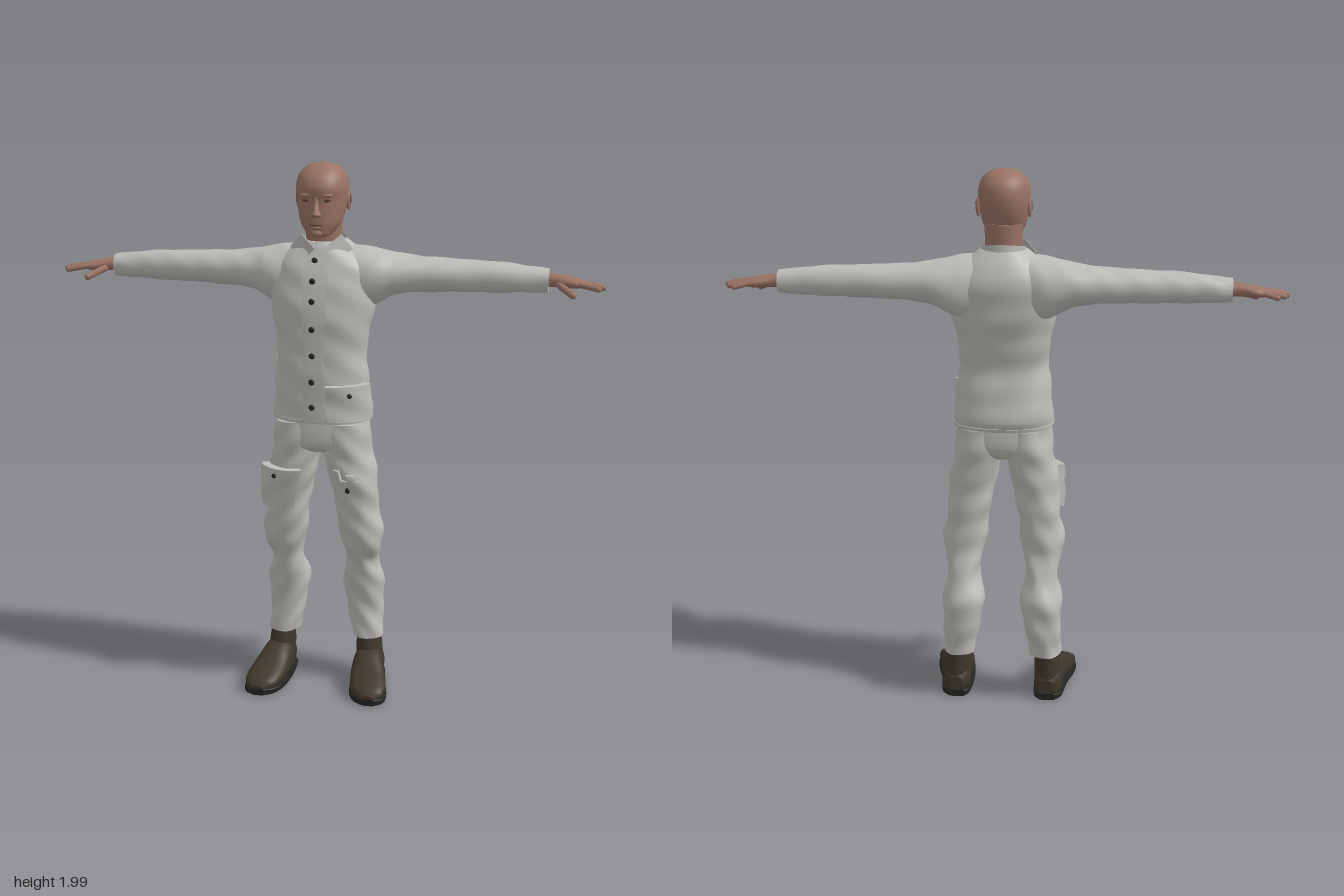
import * as THREE from 'three';
import { mergeVertices } from 'three/addons/utils/BufferGeometryUtils.js';

const mat = (name, color) => Object.assign(new THREE.MeshStandardMaterial({ color }), { name });

// Smooth body through cross-sections. Rows are [t, uLow, uHigh, vLow, vHigh];
// axis x: t=x u=y v=z, axis y: t=y u=z v=x, axis z: t=z u=x v=y.
function surface(axis, rows, power = 2, wrinkle = 0) {
  const R = [...rows].sort((a, b) => a[0] - b[0]);
  const last = R.length - 1;
  const slope = (i, k) => {
    const a = R[Math.max(0, i - 1)], b = R[Math.min(last, i + 1)];
    return (b[k] - a[k]) / (b[0] - a[0]);
  };
  const point = (t, th, off = 0) => {
    let i = 0;
    while (i < last - 1 && t > R[i + 1][0]) i++;
    const h = R[i + 1][0] - R[i][0], s = Math.min(1, Math.max(0, (t - R[i][0]) / h));
    const at = k => (2 * s ** 3 - 3 * s * s + 1) * R[i][k] + (s ** 3 - 2 * s * s + s) * h * slope(i, k)
      + (3 * s * s - 2 * s ** 3) * R[i + 1][k] + (s ** 3 - s * s) * h * slope(i + 1, k);
    const [u0, u1, v0, v1] = [at(1), at(2), at(3), at(4)];
    const o = off + wrinkle * Math.sin(t * 42 + 3 * Math.sin(th)) * Math.sin(2 * th + t * 11 + 1);
    const bend = x => Math.sign(x) * Math.abs(x) ** (2 / power);
    const u = (u0 + u1) / 2 + (Math.max(0.001, (u1 - u0) / 2) + o) * bend(Math.cos(th));
    const v = (v0 + v1) / 2 + (Math.max(0.001, (v1 - v0) / 2) + o) * bend(Math.sin(th));
    return axis === 'x' ? [t, u, v] : axis === 'y' ? [v, t, u] : [u, v, t];
  };
  return { R, point };
}

function loft(surf, { sides = 36, steps = 5, caps = true } = {}) {
  const { R, point } = surf, pos = [], idx = [], ts = [];
  for (let i = 0; i < R.length - 1; i++)
    for (let j = 0; j < steps; j++) ts.push(R[i][0] + (R[i + 1][0] - R[i][0]) * j / steps);
  ts.push(R[R.length - 1][0]);
  const ring = t => { for (let i = 0; i < sides; i++) pos.push(...point(t, i / sides * Math.PI * 2)); };
  ts.forEach(ring);
  for (let j = 0; j < ts.length - 1; j++)
    for (let i = 0; i < sides; i++) {
      const a = j * sides + i, b = j * sides + (i + 1) % sides;
      idx.push(a, b, a + sides, b, b + sides, a + sides);
    }
  if (caps) [ts[0], ts[ts.length - 1]].forEach((t, end) => {
    const base = pos.length / 3;
    ring(t);
    const p = point(t, 0), q = point(t, Math.PI);
    pos.push(...p.map((x, k) => (x + q[k]) / 2));
    for (let i = 0; i < sides; i++) {
      const a = base + i, b = base + (i + 1) % sides;
      idx.push(...(end ? [a, b, base + sides] : [b, a, base + sides]));
    }
  });
  const g = new THREE.BufferGeometry();
  g.setAttribute('position', new THREE.Float32BufferAttribute(pos, 3));
  g.setIndex(idx);
  g.computeVertexNormals();
  return g;
}

// Slab hugging a vertical surface between two angles and two heights
function patch(surf, th0, th1, y0, y1, thick) {
  const g = new THREE.BoxGeometry(1, 1, 1, 12, 12, 1), p = g.attributes.position;
  for (let i = 0; i < p.count; i++) {
    const th = th0 + (p.getX(i) + 0.5) * (th1 - th0), y = y0 + (p.getY(i) + 0.5) * (y1 - y0);
    p.setXYZ(i, ...surf.point(y, th, p.getZ(i) > 0 ? thick : -0.004));
  }
  g.computeVertexNormals();
  return g;
}

function mirrored(geo) {
  const g = geo.index ? geo.clone() : mergeVertices(geo);
  g.scale(-1, 1, 1);
  const a = g.index.array;
  for (let i = 0; i < a.length; i += 3) [a[i], a[i + 1]] = [a[i + 1], a[i]];
  return g;
}

function capsule(from, to, r) {
  const a = new THREE.Vector3(...from), d = new THREE.Vector3(...to).sub(a);
  const g = new THREE.CapsuleGeometry(r, d.length() - r, 5, 10);
  g.applyQuaternion(new THREE.Quaternion().setFromUnitVectors(new THREE.Vector3(0, 1, 0), d.clone().normalize()));
  const c = a.addScaledVector(d, 0.5);
  return g.translate(c.x, c.y, c.z);
}

const blob = (x, y, z, a, b, c) => new THREE.SphereGeometry(1, 16, 12).scale(a, b, c).translate(x, y, z);

export function createModel() {
  const root = new THREE.Group();
  root.name = 'standingMan';
  const cloth = mat('cloth', 0xbdbcb8), skin = mat('skin', 0x9a7364), shade = mat('faceShade', 0x5c4239);
  const boot = mat('bootLeather', 0x3f372b), sole = mat('soleRubber', 0x232321), dark = mat('button', 0x262524);
  const collarMat = mat('collarCloth', 0xb3b2ae);
  collarMat.side = THREE.DoubleSide;
  const add = (name, geo, m) => {
    const mesh = new THREE.Mesh(geo, m);
    mesh.name = name;
    root.add(mesh);
  };
  const pair = (name, geo, m) => { add(name + 'Left', geo, m); add(name + 'Right', mirrored(geo), m); };
  const sym = rows => rows.map(([y, z0, z1, x]) => [y, z0, z1, -x, x]);

  // Jacket body
  const torso = surface('y', sym([[1.065, -.148, .11, .18], [1.1, -.155, .112, .18], [1.18, -.145, .115, .174],
    [1.28, -.128, .115, .161], [1.38, -.145, .115, .17], [1.48, -.165, .112, .186], [1.56, -.174, .1, .195],
    [1.62, -.172, .08, .18], [1.66, -.155, .06, .145], [1.69, -.135, .045, .105], [1.71, -.12, .035, .08]]), 2.4, .004);
  add('jacket', loft(torso, { sides: 56 }), cloth);
  add('placket', patch(torso, -.2, .14, 1.068, 1.66, .004), cloth);
  add('hemBand', loft(surface('y', sym([[1.063, -.152, .113, .183], [1.075, -.155, .115, .184]]), 2.4)), cloth);
  for (const y of [1.65, 1.58, 1.51, 1.41, 1.315, 1.22, 1.125]) {
    const [x, , z] = torso.point(y, -.04, .006);
    add('button', blob(x, y, z, .011, .011, .005), dark);
  }
  add('jacketPocket', patch(torso, .17, 1.25, 1.075, 1.175, .018), cloth);
  add('jacketPocketFlap', patch(torso, .15, 1.27, 1.16, 1.208, .025), cloth);
  const [px, , pz] = torso.point(1.175, .6, .027);
  add('pocketButton', blob(px, 1.175, pz, .009, .009, .006), dark);

  // Sleeves
  const sleeve = surface('x', [[.06, 1.46, 1.695, -.15, .045], [.14, 1.46, 1.69, -.17, .055], [.2, 1.485, 1.677, -.174, .05],
    [.26, 1.517, 1.665, -.168, .03], [.4, 1.53, 1.652, -.152, .006], [.6, 1.535, 1.645, -.135, -.015],
    [.75, 1.54, 1.632, -.125, -.027], [.8, 1.543, 1.626, -.12, -.03]], 2.1, .002);
  pair('sleeve', loft(sleeve, { steps: 7 }), cloth);

  // Collar band, sloping down to the front, and its two points
  const collar = loft(surface('y', sym([[1.655, -.13, .055, .095], [1.69, -.122, .045, .084], [1.715, -.118, .04, .078]])), { caps: false });
  const cp = collar.attributes.position;
  for (let i = 0; i < cp.count; i++) cp.setY(i, cp.getY(i) - (cp.getZ(i) + .04) * .25);
  collar.computeVertexNormals();
  add('collar', collar, collarMat);
  const wing = new THREE.ExtrudeGeometry(new THREE.Shape([[.115, 1.685], [.072, 1.735], [.015, 1.69], [.055, 1.648]]
    .map(p => new THREE.Vector2(...p))), { depth: .01, bevelEnabled: false });
  const wp = wing.attributes.position;
  for (let i = 0; i < wp.count; i++) wp.setZ(i, wp.getZ(i) + .068 - wp.getX(i) * .5 - (wp.getY(i) - 1.65) * .3);
  wing.computeVertexNormals();
  pair('collarPoint', wing, collarMat);

  // Hands
  pair('palm', loft(surface('x', [[.78, 1.558, 1.612, -.105, -.048], [.82, 1.562, 1.61, -.102, -.047],
    [.87, 1.56, 1.602, -.115, -.035], [.905, 1.562, 1.594, -.116, -.03], [.918, 1.568, 1.588, -.11, -.036]]), { sides: 20 }), skin);
  [[-.105, .962, -.122, .009], [-.085, .988, -.092, .0105], [-.063, 1, -.06, .011], [-.042, .985, -.024, .0105]]
    .forEach(([z, tip, tz, r]) => pair('finger', capsule([.9, 1.58, z], [tip - r / 2, 1.567, tz], r), skin));
  pair('thumb', capsule([.835, 1.575, -.05], [.893, 1.545, .005], .0125), skin);

  // Trousers
  add('trouserSeat', loft(surface('y', sym([[.945, -.1, .07, .1], [.965, -.125, .1, .15], [1, -.14, .11, .172],
    [1.08, -.138, .106, .172]]), 2.4)), cloth);
  const leg = surface('y', [[1.06, -.138, .104, -.01, .172], [.98, -.14, .108, -.005, .18], [.93, -.135, .104, .006, .188],
    [.88, -.126, .099, .022, .196], [.8, -.12, .085, .038, .207], [.7, -.118, .07, .055, .212], [.62, -.115, .055, .066, .226],
    [.565, -.12, .046, .074, .222], [.5, -.137, .015, .088, .203], [.42, -.172, -.005, .072, .219], [.36, -.178, -.015, .07, .225],
    [.27, -.17, -.025, .09, .218], [.18, -.158, -.02, .106, .223]], 2.2, .005);
  pair('trouserLeg', loft(leg, { sides: 44, steps: 7 }), cloth);

  // Thigh pockets: large on the right leg, narrow with tool loops on the left
  add('cargoPocket', mirrored(patch(leg, -.4, 1.15, .725, .86, .024)), cloth);
  add('cargoFlap', mirrored(patch(leg, -.45, 1.2, .835, .885, .03)), cloth);
  const [bx, , bz] = leg.point(.86, .3, .032);
  add('cargoButton', blob(-bx, .86, bz, .009, .009, .006), dark);
  add('toolPocket', patch(leg, -.45, .42, .735, .85, .012), cloth);
  add('toolLoop', patch(leg, -.4, -.2, .84, .89, .014), cloth);
  add('toolLoop', patch(leg, .02, .3, .79, .875, .018), cloth);
  const [tx, , tz] = leg.point(.815, -.02, .018);
  add('toolButton', blob(tx, .815, tz, .009, .011, .006), dark);

  // Boots
  pair('bootShaft', loft(surface('y', [[.03, -.142, -.005, .125, .228], [.1, -.14, -.008, .122, .225],
    [.21, -.14, -.028, .124, .212]])), boot);
  const foot = [[-.142, .145, .2, .02, .08], [-.12, .128, .222, .012, .11], [-.05, .121, .235, .012, .14], [0, .12, .243, .012, .13],
    [.06, .124, .26, .012, .098], [.12, .136, .269, .012, .074], [.16, .158, .26, .012, .056], [.178, .188, .235, .015, .036]];
  pair('bootFoot', loft(surface('z', foot, 2.4)), boot);
  pair('bootSole', loft(surface('z', foot.map(([z, a, b]) => [z * 1.02, a - .003, b + .003, 0, .026]), 5)), sole);

  // Neck and head
  add('neck', loft(surface('y', sym([[1.62, -.11, .03, .075], [1.7, -.1, .025, .066], [1.8, -.1, .03, .068]]))), skin);
  add('head', loft(surface('y', sym([[1.733, .02, .082, .028], [1.738, -.01, .091, .04], [1.752, -.045, .097, .053],
    [1.78, -.08, .1, .072], [1.82, -.105, .099, .083], [1.86, -.118, .098, .089], [1.9, -.121, .104, .092], [1.935, -.113, .09, .086],
    [1.96, -.093, .065, .07], [1.975, -.068, .038, .05], [1.982, -.045, .015, .03], [1.985, -.02, -.01, .005]]), 2.1)), skin);
  add('nose', loft(surface('y', sym([[1.803, .08, .104, .012], [1.812, .08, .122, .018], [1.822, .08, .121, .014],
    [1.85, .08, .108, .009], [1.875, .08, .1, .008]])), { sides: 16 }), skin);
  pair('ear', blob(.09, 1.853, -.028, .009, .035, .02).rotateY(0), skin);
  pair('earHollow', blob(.096, 1.857, -.026, .0045, .02, .01), shade);
  pair('brow', blob(.037, 1.88, .093, .022, .007, .008).applyMatrix4(new THREE.Matrix4()), skin);
  pair('eye', blob(.036, 1.863, .09, .015, .006, .004), shade);
  add('mouth', blob(0, 1.777, .099, .024, .0035, .004), shade);
  add('lowerLip', blob(0, 1.769, .098, .018, .006, .007), skin);
  add('chin', blob(0, 1.748, .088, .022, .014, .014), skin);
  return root;
}
